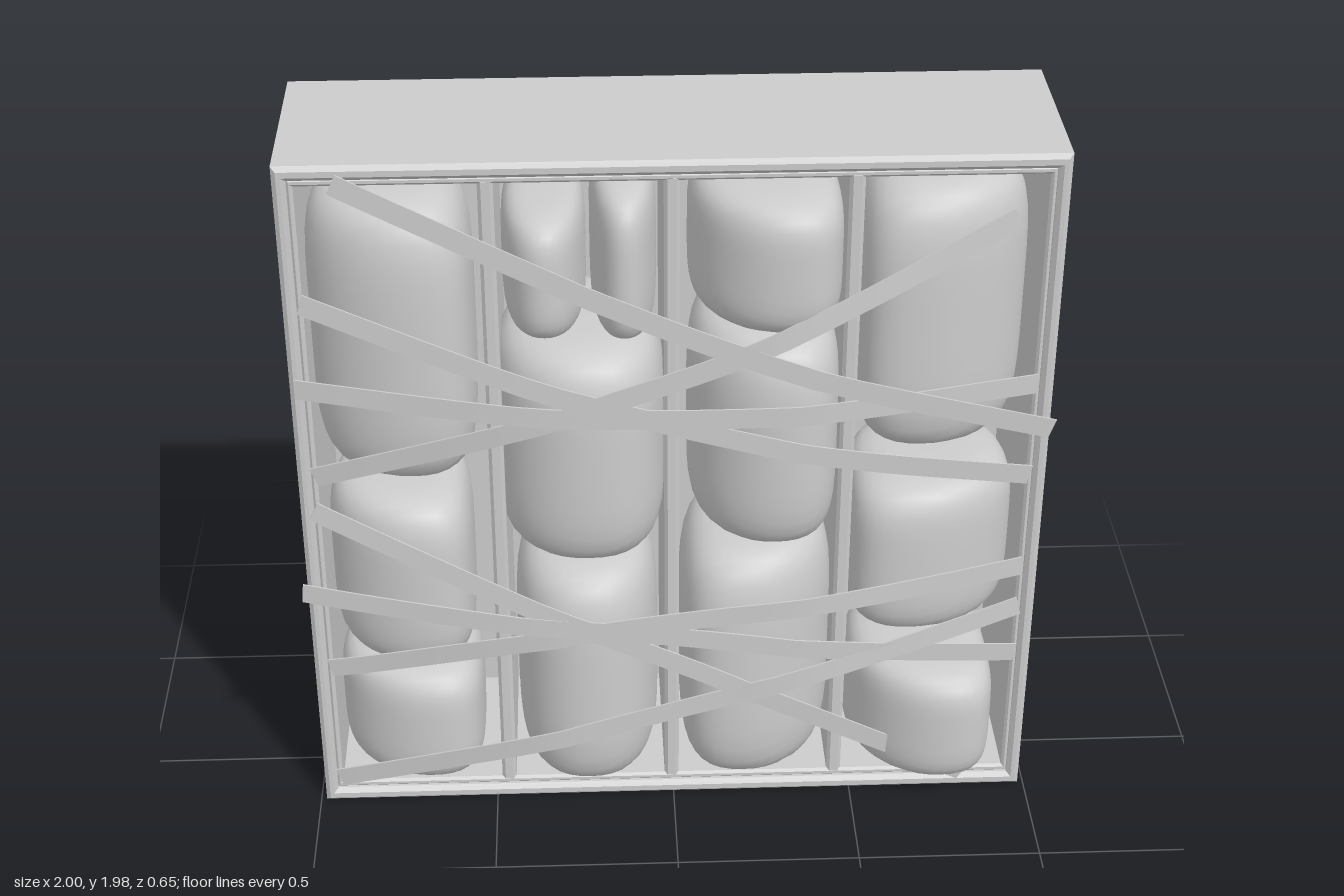
import * as THREE from 'three';
import { mergeVertices, toCreasedNormals } from 'three/addons/utils/BufferGeometryUtils.js';

const grey = new THREE.MeshStandardMaterial({ color: 0xcccccc });
grey.name = 'plain grey';

function add(parent, name, geometry) {
  const mesh = new THREE.Mesh(geometry, grey);
  mesh.name = name;
  parent.add(mesh);
  return mesh;
}

function trace(path, [x0, x1, y0, y1]) {
  path.moveTo(x0, y0);
  path.lineTo(x1, y0);
  path.lineTo(x1, y1);
  path.lineTo(x0, y1);
  path.closePath();
  return path;
}

// Bevelled rectangular plate from z0 to z1, with an optional opening
function plate(outer, hole, z0, z1, bevel) {
  const shape = trace(new THREE.Shape(), outer);
  if (hole) shape.holes.push(trace(new THREE.Path(), hole));
  const geometry = new THREE.ExtrudeGeometry(shape, {
    depth: z1 - z0 - 2 * bevel, bevelThickness: bevel, bevelSize: bevel, bevelOffset: -bevel, bevelSegments: 1,
  });
  return geometry.translate(0, 0, z0 + bevel);
}

// Stuffed bundle: round across, boxy along its height, its front leaning sideways
function bundleGeometry(x0, x1, y0, y1, front, lean) {
  const back = -0.27;
  const geometry = new THREE.BoxGeometry(2, 2, 2, 12, 12, 12);
  geometry.deleteAttribute('uv');
  geometry.deleteAttribute('normal');
  const p = geometry.attributes.position;
  for (let i = 0; i < p.count; i++) {
    const [x, y, z] = [p.getX(i), p.getY(i), p.getZ(i)];
    const across = (Math.abs(x) ** 2.3 + Math.abs(z) ** 2.3) ** (1 / 2.3);
    const r = (across ** 5 + Math.abs(y) ** 5) ** (1 / 5);
    const nz = z / r;
    p.setXYZ(i,
      (x0 + x1) / 2 + (x / r) * (x1 - x0) / 2 + lean * Math.max(0, nz) ** 2,
      (y0 + y1) / 2 + (y / r) * (y1 - y0) / 2,
      (front + back) / 2 + nz * (front - back) / 2);
  }
  const merged = mergeVertices(geometry, 1e-4);
  merged.computeVertexNormals();
  return merged;
}

// Flat band following points across the front, rising from the rim over the bundles
function strapGeometry(points, lift) {
  const curve = new THREE.CatmullRomCurve3(points.map(([x, y]) => new THREE.Vector3(x, y, 0)));
  const start = points[0][0];
  const end = points[points.length - 1][0];
  const geometry = new THREE.BoxGeometry(1, 0.056, 0.005, 24, 1, 1);
  const p = geometry.attributes.position;
  for (let i = 0; i < p.count; i++) {
    const t = p.getX(i) + 0.5;
    const c = curve.getPoint(t);
    const d = curve.getTangent(t);
    const side = p.getY(i);
    const rise = Math.max(0, Math.min(1, (c.x - start) / 0.62, (end - c.x) / 0.62));
    const z = 0.203 + lift + (0.117 - lift) * (0.75 * rise + 0.25 * Math.sin(rise * Math.PI / 2));
    p.setXYZ(i, c.x - d.y * side, c.y + d.x * side, z + p.getZ(i));
  }
  return toCreasedNormals(geometry, 0.6);
}

export function createModel() {
  const model = new THREE.Group();
  model.name = 'packedShelf';

  // Outer case and back
  const outline = [-0.985, 0.985, 0.005, 1.985];
  add(model, 'caseFrame', plate(outline, [-0.95, 0.95, 0.045, 1.945], -0.315, 0.2, 0.012));
  add(model, 'backPanel', plate(outline, null, -0.325, -0.285, 0.006));

  // Lining and dividers forming four tall compartments, set back from the rim
  add(model, 'lining', plate([-0.952, 0.952, 0.043, 1.947], [-0.935, 0.935, 0.065, 1.925], -0.3, 0.185, 0.007));
  [[-0.485, -0.445], [-0.025, 0.015], [0.435, 0.475]].forEach(([a, b], i) =>
    add(model, `divider${i + 1}`, plate([a, b, 0.05, 1.94], null, -0.3, 0.185, 0.009)));

  // Bundles: x0, x1, y0, y1, front z, lean
  const bundles = new THREE.Group();
  bundles.name = 'bundles';
  model.add(bundles);
  [
    [-0.94, -0.51, 1.06, 1.87, 0.25, 0.07],
    [-0.93, -0.54, 0.47, 1.01, 0.25, 0.07],
    [-0.93, -0.53, 0.08, 0.46, 0.25, 0.07],
    [-0.435, -0.22, 1.5, 1.85, 0.28, 0],
    [-0.21, -0.04, 1.49, 1.91, 0.28, 0],
    [-0.47, -0.02, 0.83, 1.48, 0.31, 0.03],
    [-0.43, -0.04, 0.09, 0.81, 0.315, 0],
    [0.04, 0.43, 1.52, 1.9, 0.315, 0.06],
    [0.04, 0.435, 0.87, 1.51, 0.31, 0.05],
    [0.02, 0.44, 0.09, 0.85, 0.3, -0.06],
    [0.475, 0.92, 1.13, 1.9, 0.25, -0.08],
    [0.475, 0.93, 0.55, 1.03, 0.25, -0.08],
    [0.49, 0.89, 0.09, 0.46, 0.32, 0.07],
  ].forEach((b, i) => add(bundles, `bundle${i + 1}`, bundleGeometry(...b)));

  // Crossing straps
  const straps = new THREE.Group();
  straps.name = 'straps';
  model.add(straps);
  [
    [[-0.84, 1.94], [-0.3, 1.71], [0.17, 1.5], [0.99, 1.2]],
    [[-0.94, 1.61], [-0.2, 1.36], [0.4, 1.19], [0.94, 1.06]],
    [[-0.97, 1.365], [0, 1.32], [0.94, 1.34]],
    [[-0.94, 1.1], [-0.2, 1.36], [0.2, 1.51], [0.86, 1.82]],
    [[-0.95, 0.99], [-0.2, 0.65], [0.2, 0.45], [0.82, 0.06]],
    [[-0.998, 0.73], [0, 0.64], [0.94, 0.48]],
    [[-0.94, 0.48], [-0.2, 0.66], [0.94, 0.77]],
    [[-0.94, 0.1], [-0.38, 0.28], [0.2, 0.45], [0.94, 0.64]],
  ].forEach((pts, i) => add(straps, `strap${i + 1}`, strapGeometry(pts, (i % 4) * 0.002)));

  // Slight bulge low on the back
  const bulge = add(model, 'backBulge', new THREE.SphereGeometry(1, 20, 12));
  bulge.scale.set(0.036, 0.1, 0.008);
  bulge.position.set(-0.805, 0.27, -0.323);

  return model;
}
